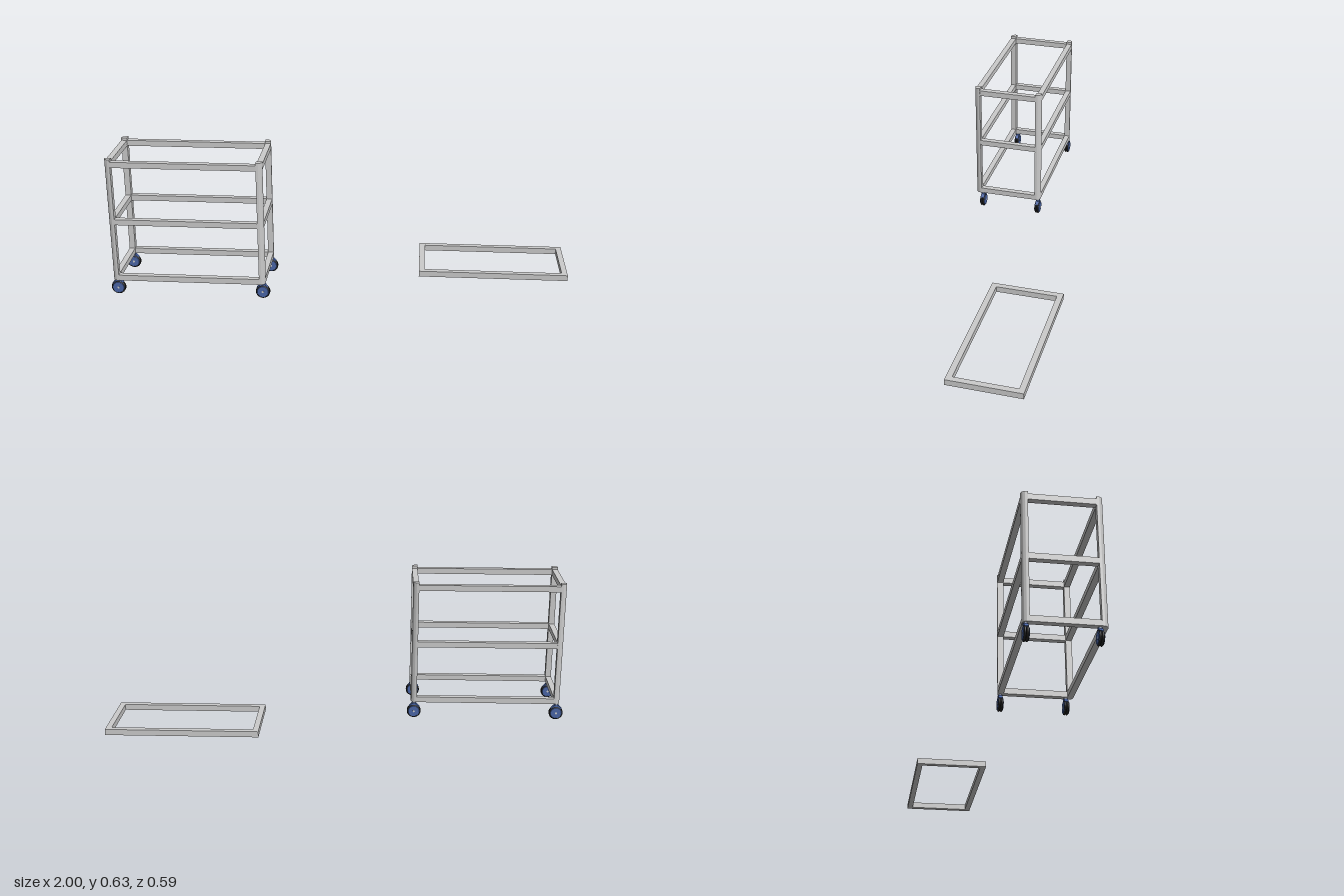
import * as THREE from 'three';
import { toCreasedNormals } from 'three/addons/utils/BufferGeometryUtils.js';

const steel = new THREE.MeshStandardMaterial({ color: 0xcccccc });
const blue = new THREE.MeshStandardMaterial({ color: 0x4a66a8 });
const black = new THREE.MeshStandardMaterial({ color: 0x222222 });

const T = 0.026;                       // tube size
const CART = { x: -0.655, z: 0.137, hx: 0.332, hz: 0.158, bottom: 0.075, top: 0.629 };

function add(parent, name, geometry, material, x = 0, y = 0, z = 0) {
  const mesh = new THREE.Mesh(geometry, material);
  mesh.name = name;
  mesh.position.set(x, y, z);
  parent.add(mesh);
  return mesh;
}

// Square tube with its outer corner rounded, standing upright
function postGeometry(height) {
  const r = 0.02;
  const s = new THREE.Shape();
  s.moveTo(0, 0);
  s.lineTo(T, 0);
  s.lineTo(T, T - r);
  s.absarc(T - r, T - r, r, 0, Math.PI / 2, false);
  s.lineTo(0, T);
  s.closePath();
  const g = new THREE.ExtrudeGeometry(s, { depth: height, bevelEnabled: false, curveSegments: 8 });
  g.rotateX(-Math.PI / 2);
  return toCreasedNormals(g, 0.6);
}

// Twin-wheel swivel caster, rolling along x
function createCaster() {
  const caster = new THREE.Group();
  caster.name = 'caster';
  const R = 0.031;
  const profile = [[0.012, -0.0045], [0.026, -0.0045], [0.029, -0.003], [R, 0],
    [0.029, 0.003], [0.026, 0.0045], [0.012, 0.0045]].map(p => new THREE.Vector2(...p));
  const tire = new THREE.LatheGeometry(profile, 32).rotateX(Math.PI / 2);
  const hub = new THREE.CylinderGeometry(0.024, 0.026, 0.003, 32).rotateX(Math.PI / 2);
  for (const s of [-1, 1]) {
    add(caster, 'tire', tire, black, 0, R, s * 0.005);
    const cover = add(caster, 'wheelCover', hub, blue, 0, R, s * 0.0102);
    if (s < 0) cover.rotation.y = Math.PI;
  }
  add(caster, 'axle', new THREE.CylinderGeometry(0.005, 0.005, 0.025, 16).rotateX(Math.PI / 2), steel, 0, R, 0);

  // Hood between and above the wheels
  const hood = new THREE.Shape();
  hood.moveTo(-0.01, 0.066);
  hood.lineTo(-0.026, 0.05);
  hood.lineTo(-0.012, R);
  hood.lineTo(0.012, R);
  hood.lineTo(0.022, 0.052);
  hood.lineTo(0.01, 0.066);
  hood.closePath();
  add(caster, 'hood', new THREE.ExtrudeGeometry(hood, { depth: 0.016, bevelEnabled: false }), blue, 0, 0, -0.008);
  add(caster, 'swivelHead', new THREE.CylinderGeometry(0.01, 0.01, 0.008, 20), blue, 0, 0.066, 0);
  add(caster, 'stem', new THREE.CylinderGeometry(0.007, 0.007, 0.012, 16), steel, 0, 0.072, 0);
  return caster;
}

function createCart() {
  const cart = new THREE.Group();
  cart.name = 'cart';
  cart.position.set(CART.x, 0, CART.z);
  const { hx, hz } = CART;

  // Corner posts, rounded side facing outwards
  const post = postGeometry(CART.top - CART.bottom);
  const corners = [[1, -1, 0], [-1, -1, Math.PI / 2], [-1, 1, Math.PI], [1, 1, -Math.PI / 2]];
  for (const [sx, sz, turn] of corners) {
    add(cart, 'cornerPost', post, steel, sx * (hx - T), CART.bottom, sz * (hz - T)).rotation.y = turn;
    const caster = createCaster();
    caster.position.set(sx * 0.318, 0, sz * 0.136 - 0.01);
    cart.add(caster);
  }

  // Three levels of rails between the posts
  const w = 0.025;
  const longRail = new THREE.BoxGeometry(2 * (hx - T), w, w);
  const shortRail = new THREE.BoxGeometry(w, w, 2 * (hz - T));
  for (const y of [0.0875, 0.3475, 0.606]) {
    for (const s of [-1, 1]) {
      add(cart, 'longRail', longRail, steel, 0, y, s * (hz - T / 2));
      add(cart, 'shortRail', shortRail, steel, s * (hx - T / 2), y, 0);
    }
  }
  return cart;
}

// Rectangular frame lying flat beside the cart
function createLooseFrame() {
  const hx = 0.332, hz = 0.1585, w = 0.025;
  const rectangle = (Type, a, b) => new Type([[-a, -b], [a, -b], [a, b], [-a, b]].map(p => new THREE.Vector2(...p)));
  const shape = rectangle(THREE.Shape, hx, hz);
  shape.holes.push(rectangle(THREE.Path, hx - w, hz - w));
  const g = new THREE.ExtrudeGeometry(shape, { depth: T, bevelEnabled: false });
  g.rotateX(-Math.PI / 2);
  return g;
}

export function createModel() {
  const model = new THREE.Group();
  model.name = 'cartAndFrame';
  model.add(createCart());
  add(model, 'looseFrame', createLooseFrame(), steel, 0.668, 0.01, -0.1355);
  return model;
}
